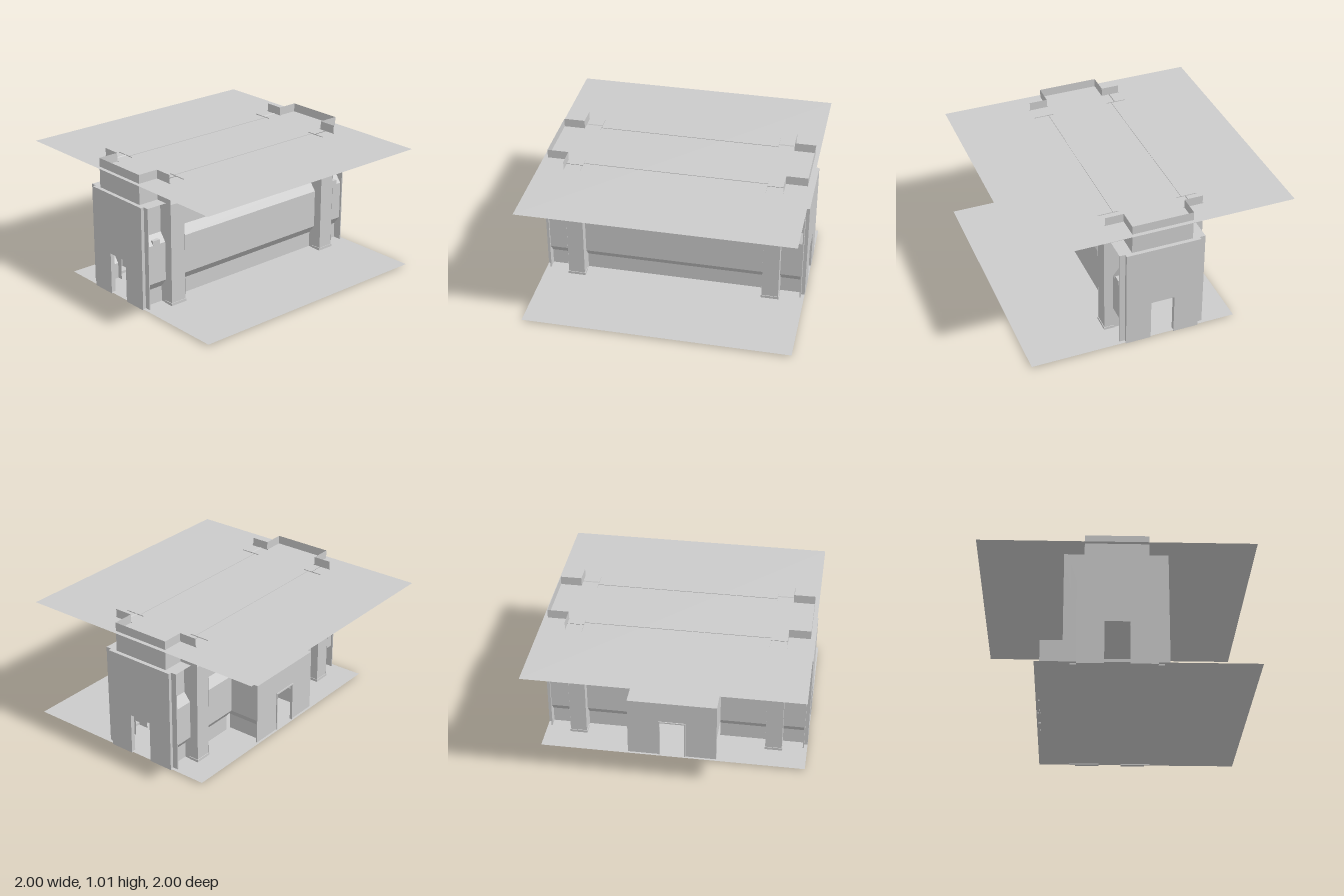
import * as THREE from 'three';

const mat = new THREE.MeshStandardMaterial({ color: 0xcccccc, side: THREE.DoubleSide, flatShading: true });

export function createModel() {
  const group = new THREE.Group();

  const add = (name, geometry) => {
    const mesh = new THREE.Mesh(geometry, mat);
    mesh.name = name;
    group.add(mesh);
    return mesh;
  };

  // box given by its limits
  const box = (name, x0, x1, y0, y1, z0, z1) =>
    add(name, new THREE.BoxGeometry(Math.abs(x1 - x0), y1 - y0, Math.abs(z1 - z0))
      .translate((x0 + x1) / 2, (y0 + y1) / 2, (z0 + z1) / 2));

  // thin sheet stretched between two rows of points
  const ribbon = (name, a, b) => {
    const pos = [];
    for (let i = 0; i < a.length - 1; i++) {
      pos.push(...a[i], ...a[i + 1], ...b[i + 1], ...a[i], ...b[i + 1], ...b[i]);
    }
    const g = new THREE.BufferGeometry();
    g.setAttribute('position', new THREE.Float32BufferAttribute(pos, 3));
    g.computeVertexNormals();
    return add(name, g);
  };

  // profile of [y, z] swept along x
  const sweepX = (name, profile, x0, x1) =>
    ribbon(name, profile.map(([y, z]) => [x0, y, z]), profile.map(([y, z]) => [x1, y, z]));

  // plan path of [x, z] raised from y0 to y1
  const wall = (name, path, y0, y1) =>
    ribbon(name, path.map(([x, z]) => [x, y0, z]), path.map(([x, z]) => [x, y1, z]));

  // flat panel with a doorway open at the bottom
  const doorPanel = (name, half, height, doorHalf, doorHeight, depth) => {
    const s = new THREE.Shape([
      [-half, 0], [-doorHalf, 0], [-doorHalf, doorHeight], [doorHalf, doorHeight],
      [doorHalf, 0], [half, 0], [half, height], [-half, height],
    ].map(([x, y]) => new THREE.Vector2(x, y)));
    return add(name, new THREE.ExtrudeGeometry(s, { depth, bevelEnabled: false }));
  };

  // ground and ceiling sheets
  sweepX('ground', [[0.01, 1], [0.01, -0.57]], -1, 1);
  sweepX('ceiling', [[0.949, 1], [0.949, -1]], -1, 1);

  const low = 0.26, bulge = 0.31;
  const lower = [[0.01, low], [0.13, low], [0.195, bulge], [0.49, bulge], [0.555, low]];

  for (const s of [1, -1]) {
    const flip = (p) => p.map(([y, z]) => [y, z * s]);

    // long walls; the rear one is open behind the porch
    const full = flip([...lower, [0.953, low]]);
    if (s > 0) sweepX('frontWall', full, -0.685, 0.685);
    else {
      sweepX('rearWall', full, -0.685, -0.33);
      sweepX('rearWall', full, 0.33, 0.685);
      sweepX('rearUpperWall', flip([[0.49, bulge], [0.555, low], [0.953, low]]), -0.33, 0.33);
    }
    box('wallTrim', -0.685, 0.685, 0.78, 0.787, s * low, s * (low + 0.004));

    for (const e of [1, -1]) {
      // end bay wall, ledge
      sweepX('endBayWall', flip([...lower, [0.79, low]]), e * 0.81, e * 0.97);
      sweepX('endBayLedge', flip([[0.79, 0.23], [0.79, 0.325]]), e * 0.81, e * 0.97);

      // hollow pillar: two tall side fins, front panel, cove above it
      for (const x of [0.685, 0.81]) {
        wall('pillarSide', [[e * x, s * 0.22], [e * x, s * 0.377]], 0.01, 0.955);
      }
      wall('pillarFront', [[e * 0.685, s * 0.375], [e * 0.81, s * 0.375]], 0.01, 0.79);
      sweepX('pillarCove', flip([[0.79, 0.375], [0.79, 0.22], [0.84, 0.23], [0.9, 0.255], [0.955, 0.292]]),
        e * 0.685, e * 0.81);
      box('pillarBase', e * 0.68, e * 0.815, 0.01, 0.03, s * 0.3, s * 0.38);
    }
  }

  // window panel with a thin frame on the front wall
  box('windowPanel', -0.33, 0.33, 0.57, 0.77, low, low + 0.006);
  for (const y of [0.57, 0.768]) box('windowFrame', -0.335, 0.335, y - 0.003, y + 0.003, low, low + 0.012);
  for (const x of [-0.332, 0.332]) box('windowFrame', x - 0.003, x + 0.003, 0.57, 0.77, low, low + 0.012);

  for (const e of [1, -1]) {
    // end walls with doorways: broad inner plate and thick outer slab
    const plate = doorPanel('endPlate', 0.325, 0.79, 0.09, 0.32, 0.008);
    const slab = doorPanel('endSlab', 0.282, 0.79, 0.09, 0.32, 0.028);
    for (const [m, x] of [[plate, 0.966], [slab, 0.972]]) {
      m.rotation.y = e * Math.PI / 2;
      m.position.x = e * x;
    }
    // parapet standing above each end
    wall('endParapet', [
      [0.81, 0.37], [0.81, 0.23], [0.97, 0.23], [0.97, -0.23], [0.81, -0.23], [0.81, -0.37],
    ].map(([x, z]) => [e * x, z]), 0.79, 1.015);
    // small vent on the front slope
    box('vent', e * 0.86, e * 0.92, 0.49, 0.525, 0.27, 0.312);
  }

  // rear porch: door wall, undercut sides, roof, door frame
  doorPanel('porchFront', 0.335, 0.49, 0.1, 0.32, 0.008).position.z = -0.552;
  for (const e of [1, -1]) {
    const side = [[0.01, 0.29], [0.13, 0.29], [0.195, 0.335], [0.49, 0.335]];
    ribbon('porchSide', side.map(([y, x]) => [e * x, y, -0.55]), side.map(([y, x]) => [e * x, y, -low]));
    box('porchDoorJamb', e * 0.092, e * 0.102, 0, 0.32, -0.56, -0.54);
  }
  box('porchDoorLintel', -0.102, 0.102, 0.312, 0.322, -0.56, -0.54);
  sweepX('porchRoof', [[0.49, -0.55], [0.49, -bulge]], -0.335, 0.335);

  return group;
}
